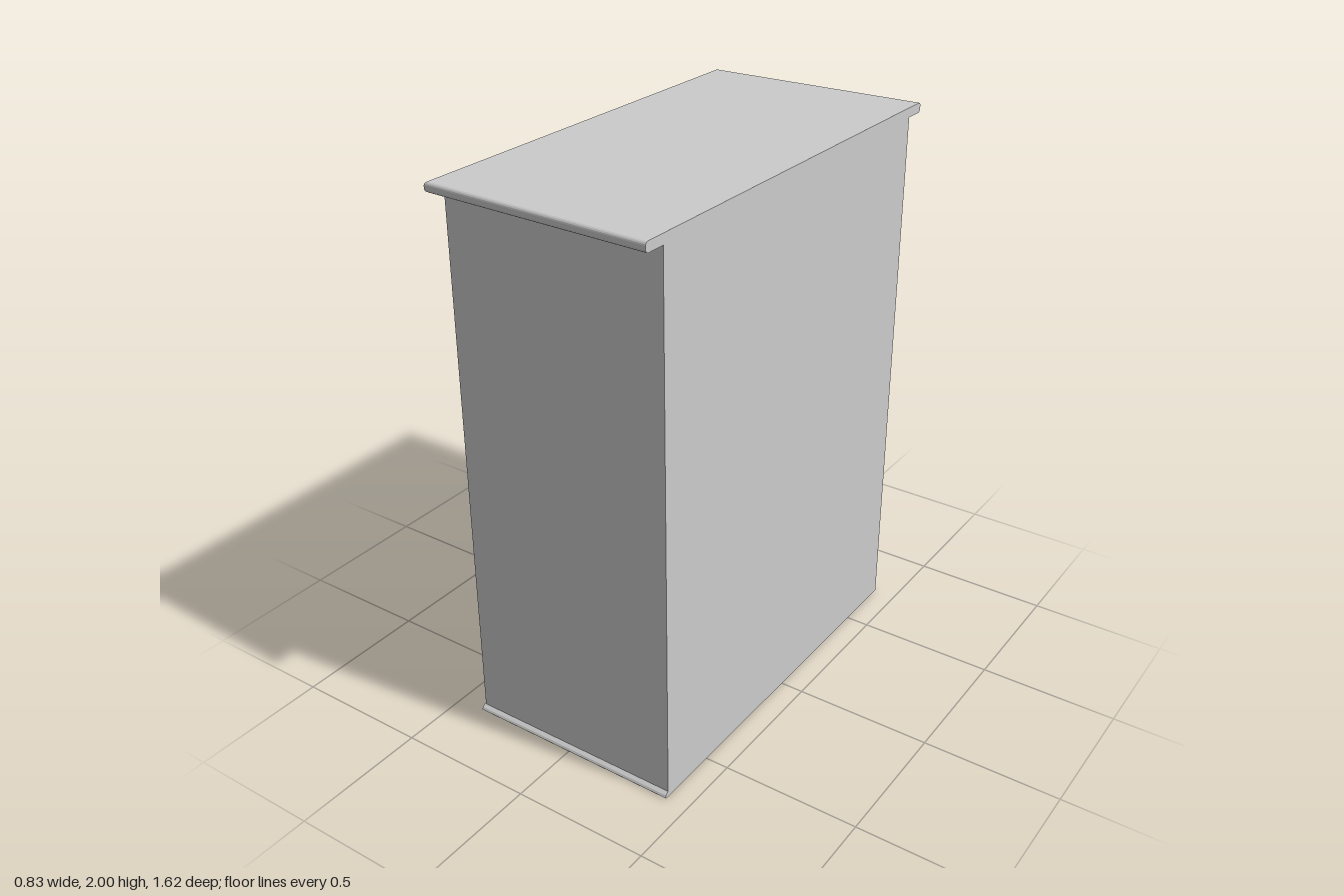
import * as THREE from 'three';

const grey = new THREE.MeshStandardMaterial({ color: 0xcccccc });
const red = new THREE.MeshStandardMaterial({ color: 0xd25f7e });

const shapeOf = (pts) => new THREE.Shape(pts.map(([a, b]) => new THREE.Vector2(a, b)));

export function createModel() {
  const group = new THREE.Group();
  const add = (name, geometry, material = grey) => {
    const mesh = new THREE.Mesh(geometry, material);
    mesh.name = name;
    group.add(mesh);
    return mesh;
  };

  const left = 0.415, right = -0.39; // closed side, open side
  const halfDepth = 0.73, lidBottom = 1.965;
  const mouthZ = 0.705, innerZ = 0.605, innerX = 0.28; // splayed recess

  // Walls: U-shaped plan, open toward -x, with splayed inner faces
  const walls = new THREE.ExtrudeGeometry(shapeOf([
    [right, -halfDepth], [left, -halfDepth], [left, halfDepth], [right, halfDepth],
    [right, mouthZ], [innerX, innerZ], [innerX, -innerZ], [right, -mouthZ],
  ]), { depth: lidBottom, bevelEnabled: false });
  walls.rotateX(-Math.PI / 2);
  add('walls', walls);

  // Floor of the recess
  const floor = new THREE.BoxGeometry(innerX - right, 0.006, mouthZ * 2);
  floor.translate((innerX + right) / 2, 0.003, 0);
  add('floor', floor);

  // Coloured linings on the two splayed inner faces
  const dx = innerX - right, dz = mouthZ - innerZ;
  for (const side of [1, -1]) {
    const lining = add(side > 0 ? 'frontLining' : 'backLining',
      new THREE.BoxGeometry(Math.hypot(dx, dz), lidBottom - 0.006, 0.004), red);
    lining.position.set((innerX + right) / 2, lidBottom / 2 + 0.003, side * (mouthZ + innerZ) / 2);
    lining.rotation.y = side * Math.atan2(dz, dx);
  }

  // Small rounded lip along the bottom of the front
  const lip = new THREE.ExtrudeGeometry(shapeOf([
    [halfDepth - 0.005, 0], [0.742, 0], [0.746, 0.005], [0.742, 0.013], [halfDepth, 0.022], [halfDepth - 0.005, 0.022],
  ]), { depth: 0.81, bevelEnabled: false });
  lip.rotateY(-Math.PI / 2);
  lip.translate(left, 0, 0);
  add('bottomLip', lip);

  // Lid: tapered plan with rounded edges, cut flush on the closed side
  const r = 0.012;
  const lid = new THREE.ExtrudeGeometry(shapeOf([
    [-0.418 + r, -0.785 + r], [0.45, -0.811 + r], [0.45, 0.811 - r], [-0.418 + r, 0.785 - r],
  ]), { depth: 0.035 - 2 * r, bevelThickness: r, bevelSize: r, bevelSegments: 4 });
  lid.rotateX(-Math.PI / 2);
  lid.translate(0, lidBottom + r, 0);
  const p = lid.attributes.position;
  for (let i = 0; i < p.count; i++) p.setX(i, Math.min(p.getX(i), left));
  lid.computeVertexNormals();
  add('lid', lid);

  return group;
}
